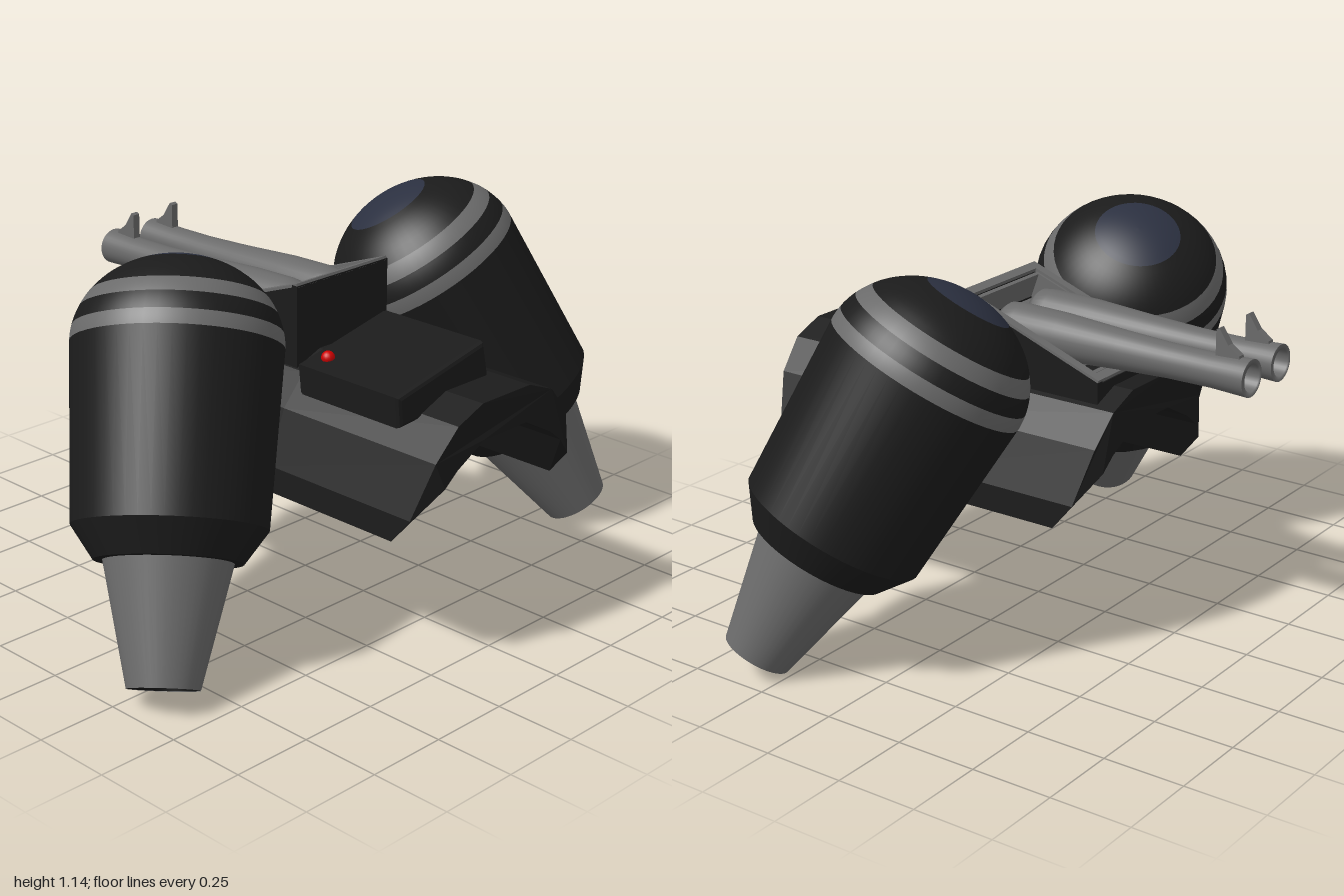
import * as THREE from 'three';

const mat = (color) => new THREE.MeshStandardMaterial({ color, side: THREE.DoubleSide });
const BLACK = mat(0x1b1b1b), GREY = mat(0x6a6a6a), GLASS = mat(0x2b3040), RED = mat(0xcc0000), DARK = mat(0x111111);

function add(parent, name, geometry, material, x = 0, y = 0, z = 0) {
  const m = new THREE.Mesh(geometry, material);
  m.name = name;
  m.position.set(x, y, z);
  parent.add(m);
  return m;
}
const shapeOf = (pts) => new THREE.Shape(pts.map(([x, y]) => new THREE.Vector2(x, y)));
const extrude = (shape, depth, extra = {}) =>
  new THREE.ExtrudeGeometry(shape, { depth, bevelEnabled: false, ...extra });
// profile given as [radius, height] pairs
const lathe = (pts, n = 48) => new THREE.LatheGeometry(pts.map(([r, h]) => new THREE.Vector2(r, h)), n);

// Thruster pod, built upright with its nozzle mouth at the origin
function pod(name) {
  const g = new THREE.Group();
  g.name = name;
  add(g, 'nozzle', lathe([[0.103, 0], [0.188, 0.37]]), GREY);
  add(g, 'nozzleMouth', lathe([[0, 0.05], [0.085, 0.05], [0.1, 0.001]]), DARK);
  add(g, 'podBase', lathe([[0, 0.35], [0.21, 0.35]]), BLACK);
  add(g, 'podChamfer', lathe([[0.21, 0.35], [0.277, 0.445]]), BLACK);
  add(g, 'podBody', lathe([[0.277, 0.445], [0.304, 0.96]]), BLACK);
  // Dome split into coloured rings that follow one elliptical curve
  const rings = [
    ['lowerBand', 0, 0.17, GREY], ['domeRing', 0.17, 0.38, BLACK], ['upperBand', 0.38, 0.58, GREY],
    ['domeCap', 0.58, 1.12, BLACK], ['domeWindow', 1.12, Math.PI / 2, GLASS],
  ];
  for (const [ringName, a, b, m] of rings) {
    const pts = [];
    for (let i = 0; i <= 8; i++) {
      const t = a + (b - a) * i / 8;
      pts.push([Math.max(0, 0.304 * Math.cos(t)), 0.96 + 0.26 * Math.sin(t)]);
    }
    add(g, ringName, lathe(pts), m);
  }
  return g;
}

// Arched saddle whose lower corners are cut back at both ends
function saddle() {
  const half = [[0.345, 0.42], [0.342, 0.5], [0.28, 0.66], [0.2, 0.75], [0.1, 0.79]];
  const inner = [[0.25, 0.58], [0.2, 0.62], [0.09, 0.68]];
  const flip = (pts) => pts.map(([x, y]) => [-x, y]).reverse();
  const outline = [...half, ...flip(half), ...inner.map(([x, y]) => [-x, y]), ...[...inner].reverse()];
  const geo = extrude(shapeOf(outline), 1.185, { steps: 2 });
  geo.translate(0.01, 0, -0.41);
  const p = geo.attributes.position;
  for (let i = 0; i < p.count; i++) {
    const z = p.getZ(i);
    const low = Math.max(0, 0.52 - p.getY(i)) / 0.1;
    const edge = Math.max(0, Math.abs(p.getX(i) - 0.01) - 0.25) / 0.1;
    const cut = Math.min(0.11, 0.08 * low + 0.03 * edge);
    if (z > 0.7) p.setZ(i, z - cut);
    if (z < -0.4) p.setZ(i, z + cut);
  }
  geo.computeVertexNormals();
  return geo;
}

// Open tray with a rim that slopes down toward the back
function tray() {
  const g = new THREE.Group();
  g.name = 'gunTray';
  const side = shapeOf([[-0.15, 0.74], [0.345, 0.74], [0.345, 0.82], [-0.15, 1.0]]);
  for (const x of [-0.185, 0.17]) {
    add(g, 'trayWall', extrude(side, 0.025).rotateY(Math.PI / 2), BLACK, x);
  }
  add(g, 'trayFront', new THREE.BoxGeometry(0.38, 0.26, 0.02), BLACK, 0.005, 0.87, 0.14);
  add(g, 'trayBack', new THREE.BoxGeometry(0.38, 0.075, 0.02), BLACK, 0.005, 0.778, -0.335);
  // Grey liner and floor lie along the slope
  const rect = (w, h) => [[-w, -h], [w, -h], [w, h], [-w, h]];
  const frame = shapeOf(rect(0.188, 0.262));
  frame.holes.push(shapeOf(rect(0.158, 0.232)));
  const slope = new THREE.Group();
  slope.name = 'trayLiner';
  slope.position.set(0.005, 0.91, -0.0975);
  slope.rotation.x = -Math.PI / 2 - Math.atan2(0.18, 0.495);
  slope.rotation.x += 0;
  add(slope, 'trayRim', extrude(frame, 0.012), GREY, 0, 0, -0.004);
  const inner = shapeOf(rect(0.162, 0.225));
  inner.holes.push(shapeOf(rect(0.15, 0.213)));
  add(slope, 'trayInside', extrude(inner, 0.09), GREY, 0, 0, -0.09);
  add(slope, 'trayFloor', new THREE.BoxGeometry(0.33, 0.44, 0.01), GREY, 0, 0, -0.09);
  g.add(slope);
  return g;
}

// Barrel pointing to the back, with a hollow muzzle and a fin sight
function barrel(x) {
  const g = new THREE.Group();
  g.name = 'gunBarrel';
  g.position.set(x, 0.893, 0);
  const outer = lathe([[0, -0.06], [0.055, -0.06], [0.07, -0.04], [0.074, 0], [0.071, 0.15], [0.058, 0.36],
    [0.051, 0.52], [0.05, 0.66], [0.055, 0.78]], 32);
  const bore = lathe([[0.055, 0.78], [0.04, 0.78], [0.038, 0.62], [0, 0.62]], 32);
  add(g, 'barrelTube', outer.rotateX(-Math.PI / 2), GREY);
  add(g, 'barrelBore', bore.rotateX(-Math.PI / 2), GREY);
  const fin = shapeOf([[0.67, 0.04], [0.75, 0.04], [0.745, 0.06], [0.71, 0.085], [0.68, 0.13], [0.67, 0.125]]);
  add(g, 'barrelSight', extrude(fin, 0.024).rotateY(Math.PI / 2), GREY, -0.012);
  return g;
}

export function createModel() {
  const model = new THREE.Group();
  model.name = 'twinThrusterPack';

  // Mirrored pods leaning inward and back
  for (const s of [1, -1]) {
    const p = pod(s > 0 ? 'leftPod' : 'rightPod');
    const axis = new THREE.Vector3(-0.395 * s, 0.848, -0.352).normalize();
    p.quaternion.setFromUnitVectors(new THREE.Vector3(0, 1, 0), axis);
    p.position.set(0.903 * s, 0.058, 0.352);
    model.add(p);
  }

  add(model, 'saddle', saddle(), BLACK);
  model.add(tray());
  for (const x of [-0.078, 0.083]) model.add(barrel(x));

  // Tilted control box with its button
  const box = shapeOf([[-0.265, 0.74], [0.085, 0.77], [0.06, 0.88], [-0.272, 0.81]]);
  const boxGeo = extrude(box, 0.36, { bevelEnabled: true, bevelSize: 0.012, bevelThickness: 0.015, bevelSegments: 2 });
  add(model, 'controlBox', boxGeo, BLACK, 0, 0, 0.265);
  add(model, 'button', new THREE.SphereGeometry(0.02, 16, 12), RED, -0.22, 0.836, 0.31);
  return model;
}
